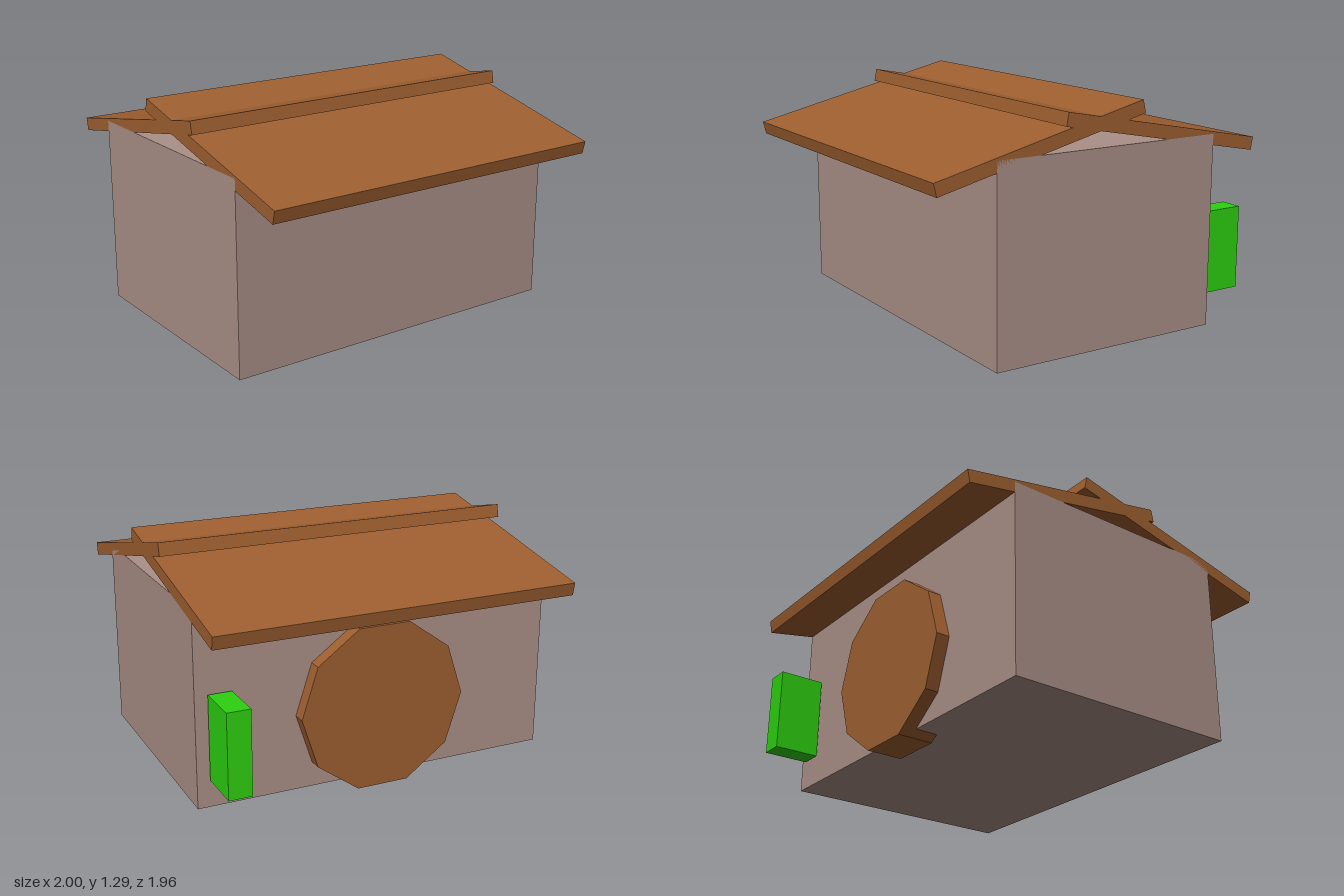
import * as THREE from 'three';

export function createModel() {
  const model = new THREE.Group();
  const flat = (name, color) => {
    const m = new THREE.MeshStandardMaterial({ color, flatShading: true });
    m.name = name;
    return m;
  };
  const plaster = flat('plaster', 0xaa8f87);
  const wood = flat('wood', 0x9e5f30);
  const green = flat('green', 0x2dd010);

  const add = (name, geometry, material, x, y, z) => {
    const mesh = new THREE.Mesh(geometry, material);
    mesh.name = name;
    mesh.position.set(x, y, z);
    model.add(mesh);
    return mesh;
  };

  // House body
  add('walls', new THREE.BoxGeometry(2, 1.04, 1.335), plaster, 0, 0.552, -0.024);

  // Two crossing roof slabs
  const slab = new THREE.BoxGeometry(2, 0.071, 1.233);
  add('frontRoof', slab, wood, 0, 1.113, 0.3725).rotation.x = THREE.MathUtils.degToRad(13.3);
  add('backRoof', slab, wood, 0, 1.1125, -0.363).rotation.x = THREE.MathUtils.degToRad(-11);

  // Ten-sided round door, resting on a flat edge and sunk into the back wall
  const door = new THREE.CylinderGeometry(0.463, 0.463, 0.2, 10, 1, false, Math.PI / 2);
  door.rotateX(Math.PI / 2);
  add('roundDoor', door, wood, 0, 0.44, -0.667);

  // Green box beside the door
  add('greenBox', new THREE.BoxGeometry(0.126, 0.455, 0.251), green, 0.873, 0.412, -0.833);

  return model;
}
